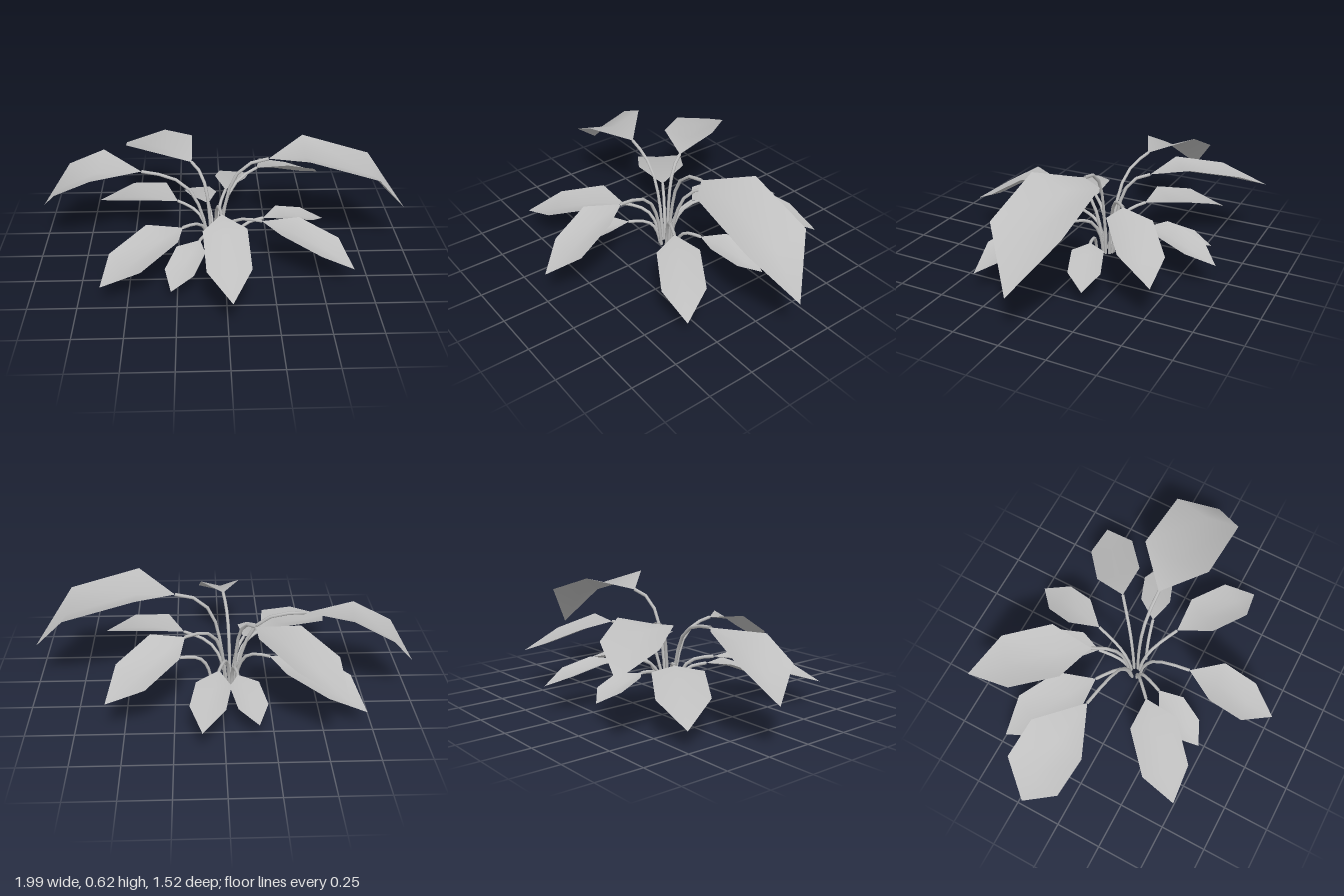
import * as THREE from 'three';

const V = (x, y, z) => new THREE.Vector3(x, y, z);

// Folded leaf blade: base, two cross-sections (edge, midrib, edge) and a tip.
// y1/y2 are edge heights, tilt lifts one edge and drops the other, s1/s2 place the sections.
function leafGeometry({ base, tip, half, y1, y2, tilt = 0, s1 = 0.3, s2 = 0.72 }) {
  const dx = tip[0] - base[0], dz = tip[2] - base[2];
  const len = Math.hypot(dx, dz);
  const px = -dz / len, pz = dx / len;
  const pos = [...base];
  for (const [s, y] of [[s1, y1], [s2, y2]]) {
    for (const side of [-1, 0, 1]) {
      pos.push(
        base[0] + dx * s + px * half * side,
        y + tilt * side - (side === 0 ? half * 0.3 : 0),
        base[2] + dz * s + pz * half * side
      );
    }
  }
  pos.push(...tip);
  const geo = new THREE.BufferGeometry();
  geo.setAttribute('position', new THREE.Float32BufferAttribute(pos, 3));
  geo.setIndex([
    0, 2, 1, 0, 3, 2,
    1, 2, 5, 1, 5, 4, 2, 3, 6, 2, 6, 5,
    4, 5, 7, 5, 6, 7,
  ]);
  geo.computeVertexNormals();
  return geo;
}

// Arching stalk: steep at the root, levelling off into the leaf base
function stemGeometry(root, base) {
  const arch = [[0, 0], [0.08, 0.42], [0.27, 0.78], [0.55, 0.94], [1, 1]];
  const pts = arch.map(([h, v]) => V(
    root[0] + (base[0] - root[0]) * h,
    base[1] * v,
    root[1] + (base[2] - root[1]) * h
  ));
  return new THREE.TubeGeometry(new THREE.CatmullRomCurve3(pts), 7, 0.009, 6);
}

const LEAVES = [
  { name: 'leftLargeLeaf', base: [0.24, 0.55, -0.05], tip: [0.99, 0.25, -0.04], half: 0.187, y1: 0.61, y2: 0.5, tilt: 0.005, s1: 0.26, s2: 0.75 },
  { name: 'backRightLargeLeaf', base: [-0.17, 0.45, -0.23], tip: [-0.57, 0.34, -0.76], half: 0.14, y1: 0.5, y2: 0.445, tilt: 0.012, s1: 0.27, s2: 0.68 },
  { name: 'rightLeaf', base: [-0.44, 0.46, -0.1], tip: [-1, 0.215, -0.19], half: 0.158, y1: 0.483, y2: 0.385, tilt: 0.022, s1: 0.43, s2: 0.79 },
  { name: 'backRightLowLeaf', base: [-0.25, 0.24, -0.17], tip: [-0.72, 0.09, -0.48], half: 0.13, y1: 0.255, y2: 0.19 },
  { name: 'frontRightLeaf', base: [-0.22, 0.235, 0.12], tip: [-0.63, 0.12, 0.5], half: 0.125, y1: 0.26, y2: 0.19, s1: 0.26, s2: 0.71 },
  { name: 'frontRightSmallLeaf', base: [-0.13, 0.175, 0.15], tip: [-0.28, 0.07, 0.475], half: 0.082, y1: 0.18, y2: 0.125, s1: 0.32 },
  { name: 'frontLeftLeaf', base: [0.2, 0.25, 0.09], tip: [0.66, 0.11, 0.36], half: 0.11, y1: 0.265, y2: 0.203, s1: 0.31, s2: 0.74 },
  { name: 'frontLeaf', base: [-0.02, 0.395, 0.27], tip: [0.02, 0.19, 0.76], half: 0.11, y1: 0.395, y2: 0.28, s1: 0.32, s2: 0.7 },
  { name: 'backLeftLeaf', base: [0.19, 0.405, -0.24], tip: [0.58, 0.22, -0.56], half: 0.118, y1: 0.4, y2: 0.31, tilt: 0.02, s1: 0.26, s2: 0.69 },
  { name: 'backLeaf', base: [0.02, 0.24, -0.3], tip: [0.11, 0.15, -0.715], half: 0.09, y1: 0.25, y2: 0.21, s1: 0.34, s2: 0.7 },
  { name: 'backSmallLeaf', base: [-0.08, 0.18, -0.25], tip: [-0.17, 0.105, -0.595], half: 0.078, y1: 0.19, y2: 0.15 },
  { name: 'leftSmallLeaf', base: [0.22, 0.18, -0.07], tip: [0.57, 0.1, -0.2], half: 0.082, y1: 0.193, y2: 0.15, root: [0.055, -0.025] },
];

export function createModel() {
  const group = new THREE.Group();
  group.name = 'pottedLeafPlant';
  const grey = new THREE.MeshStandardMaterial({ color: 0xbfbfbf, side: THREE.DoubleSide });
  grey.name = 'grey';

  for (const spec of LEAVES) {
    const leaf = new THREE.Mesh(leafGeometry(spec), grey);
    leaf.name = spec.name;

    // Roots form a tight ring around the plant's centre
    const a = Math.atan2(spec.base[2] + 0.045, spec.base[0] + 0.045);
    const root = spec.root ?? [-0.05 + 0.03 * Math.cos(a), -0.04 + 0.03 * Math.sin(a)];
    const stem = new THREE.Mesh(stemGeometry(root, spec.base), grey);
    stem.name = spec.name.replace('Leaf', 'Stem');
    group.add(leaf, stem);
  }
  return group;
}
